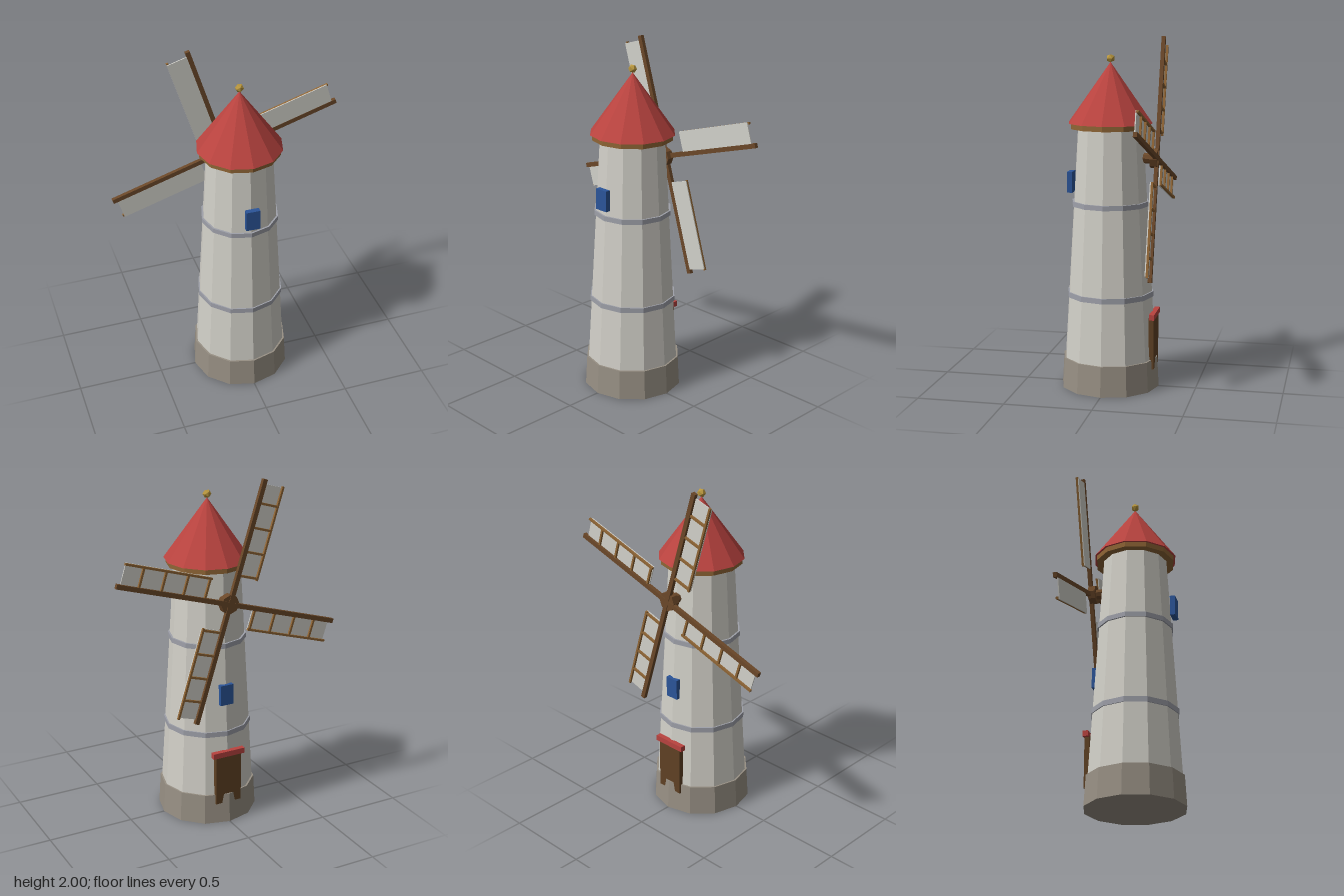
import * as THREE from 'three';

const mat = (name, color) => {
  const m = new THREE.MeshStandardMaterial({ color, flatShading: true });
  m.name = name;
  return m;
};

export function createModel() {
  const plaster = mat('plaster', 0xd2d0c8);
  const stone = mat('stone', 0x989084);
  const band = mat('band', 0x9fa1aa);
  const red = mat('roof red', 0xb9433f);
  const wood = mat('dark wood', 0x6b4829);
  const trim = mat('light wood', 0x8f6535);
  const doorWood = mat('door wood', 0x5f4124);
  const blue = mat('window blue', 0x2b5599);
  const gold = mat('gold', 0xb8963e);
  const cloth = mat('sail cloth', 0xd2d1ca);

  const model = new THREE.Group();
  model.name = 'windmill';

  const add = (parent, name, geometry, material, x, y, z) => {
    const mesh = new THREE.Mesh(geometry, material);
    mesh.name = name;
    mesh.position.set(x, y, z);
    parent.add(mesh);
    return mesh;
  };
  const box = (parent, name, material, w, h, d, x, y, z) =>
    add(parent, name, new THREE.BoxGeometry(w, h, d), material, x, y, z);
  // Twelve-sided section standing between two heights
  const drum = (name, material, rBottom, rTop, y0, y1) =>
    add(model, name, new THREE.CylinderGeometry(rTop, rBottom, y1 - y0, 12), material, 0, (y0 + y1) / 2, 0);

  // Tower
  drum('base', stone, 0.285, 0.275, 0, 0.175);
  drum('tower', plaster, 0.265, 0.187, 0.175, 1.5);
  drum('lowerBand', band, 0.25, 0.25, 0.53, 0.56);
  drum('upperBand', band, 0.222, 0.222, 1.052, 1.08);

  // Roof
  drum('roofRim', trim, 0.23, 0.23, 1.49, 1.524);
  add(model, 'roof', new THREE.ConeGeometry(0.242, 0.34, 12), red, 0, 1.69, 0);
  add(model, 'finial', new THREE.IcosahedronGeometry(0.025, 0), gold, 0, 1.88, 0);

  // Windows and door
  box(model, 'frontWindow', blue, 0.08, 0.12, 0.03, 0, 1.18, 0.229);
  box(model, 'backWindow', blue, 0.08, 0.12, 0.03, 0, 0.78, -0.228);
  box(model, 'door', doorWood, 0.16, 0.3, 0.03, 0, 0.27, -0.252);
  box(model, 'doorLintel', red, 0.2, 0.032, 0.03, 0, 0.428, -0.257);

  // Rotor at the back: axle, hub and four blades
  const rotor = new THREE.Group();
  rotor.name = 'rotor';
  rotor.position.y = 1.325;
  model.add(rotor);
  add(rotor, 'axle', new THREE.CylinderGeometry(0.03, 0.03, 0.09, 8), wood, 0, 0, -0.19).rotation.x = Math.PI / 2;
  add(rotor, 'hub', new THREE.CylinderGeometry(0.055, 0.055, 0.042, 8), wood, 0, 0, -0.252).rotation.x = Math.PI / 2;

  for (let i = 0; i < 4; i++) {
    const blade = new THREE.Group();
    blade.name = 'blade' + (i + 1);
    blade.rotation.z = 0.3 + (i * Math.PI) / 2;
    rotor.add(blade);
    box(blade, 'spar', wood, 0.7, 0.026, 0.022, 0.35, 0, -0.266);
    box(blade, 'sail', cloth, 0.52, 0.128, 0.006, 0.415, 0.066, -0.259);
    box(blade, 'outerRail', trim, 0.53, 0.012, 0.013, 0.418, 0.123, -0.2685);
    for (let j = 0; j < 4; j++) {
      box(blade, 'crossbar', trim, 0.012, 0.11, 0.012, 0.165 + j * 0.135, 0.065, -0.268);
    }
  }

  return model;
}
